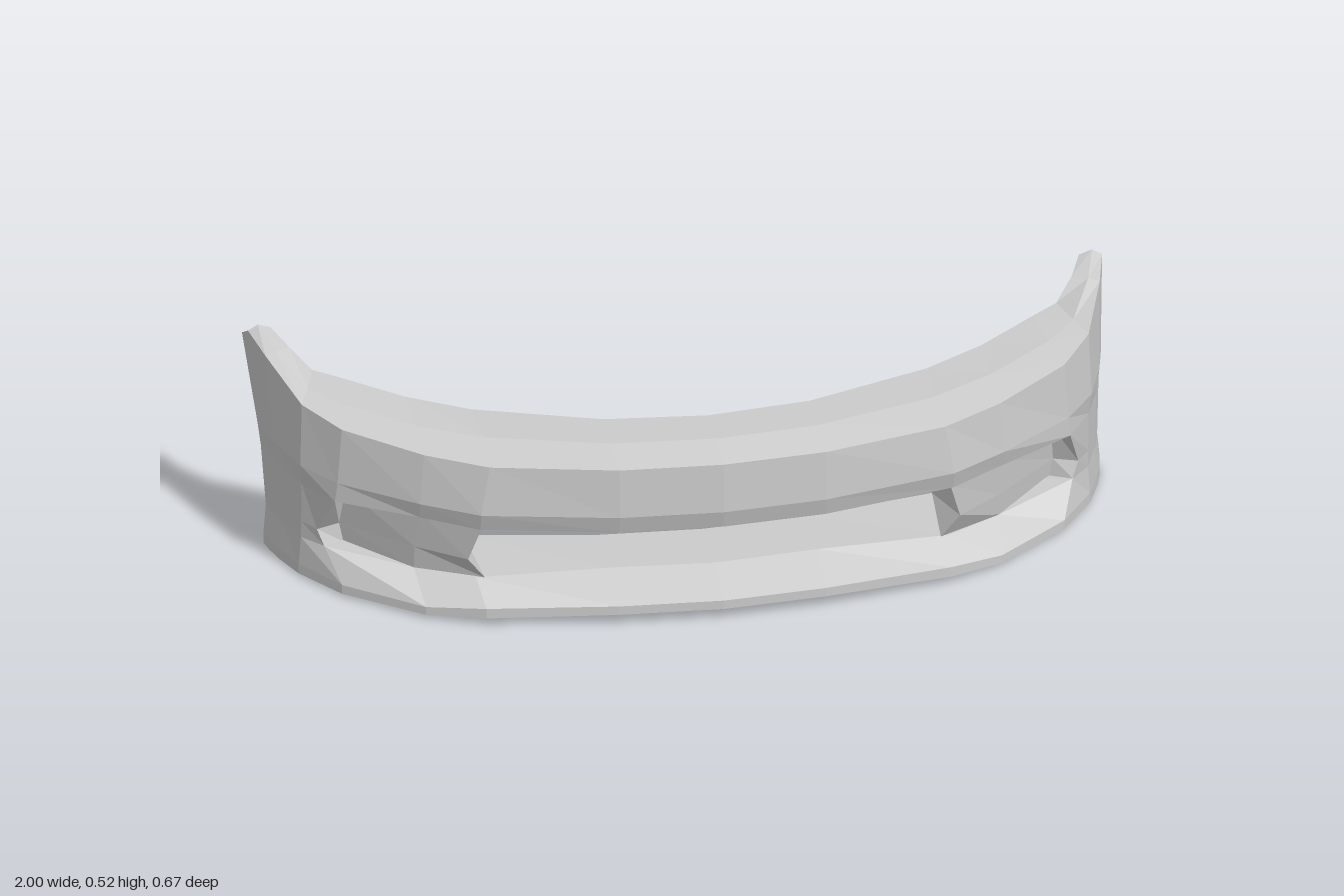
import * as THREE from 'three';

const material = new THREE.MeshStandardMaterial({ color: 0xcccccc, flatShading: true });

// Skins a list of equal cross-section loops running toward +x, with capped ends.
function loft(name, sections) {
  const pos = [];
  const tri = (a, b, c) => {
    const [A, B, C] = [a, b, c].map((p) => new THREE.Vector3(...p));
    if (B.clone().sub(A).cross(C.clone().sub(A)).length() > 1e-9) pos.push(...a, ...b, ...c);
  };
  const quad = (a, b, c, d) => { tri(a, b, c); tri(a, c, d); };
  const n = sections[0].length;
  for (let i = 0; i < sections.length - 1; i++) {
    for (let j = 0; j < n; j++) {
      const k = (j + 1) % n, s = sections[i], t = sections[i + 1];
      quad(s[j], s[k], t[k], t[j]);
    }
  }
  // caps join each front point with the back point opposite it
  const first = sections[0], last = sections[sections.length - 1];
  for (let j = 0; j < n / 2 - 1; j++) {
    const m = n - 1 - j;
    quad(last[j], last[j + 1], last[m - 1], last[m]);
    quad(first[j], first[m], first[m - 1], first[j + 1]);
  }
  const g = new THREE.BufferGeometry();
  g.setAttribute('position', new THREE.Float32BufferAttribute(pos, 3));
  g.computeVertexNormals();
  const mesh = new THREE.Mesh(g, material);
  mesh.name = name;
  return mesh;
}

const mirrored = (sections) => sections.map((s) => s.map(([x, y, z]) => [-x, y, z])).reverse();
const fullWidth = (half) => [...mirrored(half.slice(1)), ...half];
const across = (...rows) => rows[0].map((_, i) => rows.map((r) => r[i]));
const between = (a, b, t) => a.map((v, k) => v + (b[k] - v) * t);

// Lengthwise edges from the centre to the left end, as [x, y, z]
const ridge = [[0, .427, .24], [.24, .427, .22], [.52, .427, .14], [.67, .435, .07],
  [.82, .45, -.03], [.89, .46, -.1], [.945, .503, -.21], [.97, .525, -.3], [.972, .495, -.335]];
const rim = [[0, .407, .328], [.24, .407, .312], [.53, .407, .245], [.67, .415, .175],
  [.84, .435, .06], [.915, .453, -.04], [.97, .498, -.2], [.993, .513, -.297], [1, .488, -.335]];
const crease = [[0, .285, .333], [.24, .285, .317], [.55, .285, .25], [.68, .29, .18],
  [.85, .295, .06], [.92, .3, -.03], [.96, .3, -.15], [.974, .3, -.21], [.98, .298, -.245]];
const lip = [[0, .24, .32], [.24, .24, .304], [.55, .24, .235], [.68, .248, .165],
  [.855, .245, .055], [.915, .245, -.04], [.952, .245, -.14], [.967, .245, -.2], [.974, .245, -.237]];
const wallTop = [[0, .427, .13], [.24, .427, .105], [.53, .427, .005], [.67, .438, -.06],
  [.8, .455, -.14], [.865, .462, -.18], [.91, .5, -.23], [.94, .515, -.3], [.955, .49, -.335]];
const sill = [[0, .09, .22], [.24, .09, .2], [.55, .085, .18], [.68, .08, .1],
  [.87, .1, 0], [.915, .1, -.05], [.945, .1, -.13], [.96, .1, -.18], [.966, .1, -.217]];
const chinTop = [[0, .05, .328], [.24, .05, .312], [.54, .045, .26], [.67, .03, .2],
  [.84, .03, .065], [.92, .03, -.05], [.952, .03, -.13], [.966, .03, -.18], [.972, .03, -.213]];
const chinY = [.028, .028, .02, .01, .007, .005, .003, .002, 0];
const chinBottom = chinTop.map(([x, , z], i) => [x, chinY[i], z]);
// Inner wall plan, reused at several heights
const innerXZ = [[0, .06], [.24, .045], [.545, -.01], [.67, -.06], [.81, -.14],
  [.86, -.17], [.89, -.195], [.91, -.21], [.93, -.215]];
const inner = (y, endZ) => innerXZ.map(([x, z], i) => [x, y, i === 8 ? endZ : z]);
const innerHigh = inner(.29, -.243), innerLow = inner(.09, -.217);
const innerBottom = inner(0, -.213).map(([x, , z], i) => [x, i < 3 ? .018 : chinY[i], z]);
// Underside fold: dips behind the lip, then the soffit climbs to the inner wall
const under = [[0, .226, .23], [.24, .226, .21], [.545, .228, .15], [.67, .236, .13],
  [.82, .24, 0], ...lip.slice(5).map((p, i) => between(p, innerHigh[i + 5], .5))];

export function createModel() {
  const group = new THREE.Group();
  group.name = 'frontBumper';

  // Upper bar with its raised wing tips
  group.add(loft('upperBar', fullWidth(
    across(ridge, rim, crease, lip, under, innerHigh, wallTop, ridge))));

  // Lower bar with the projecting chin
  group.add(loft('lowerBar', fullWidth(
    across(sill, chinTop, chinBottom, innerBottom, innerLow, innerLow))));

  // Side: pillar, recessed lamp pocket, then the flush outer corner
  const front = [
    [[.545, .24, .228], [.572, .145, .2], [.53, .085, .185]],
    [[.67, .24, .13], [.68, .14, .11], [.68, .08, .1]],
    [[.82, .245, 0], [.83, .14, -.03], [.82, .09, -.03]],
    [lip[4], [.885, .14, -.01], sill[4]],
  ];
  for (let i = 5; i < lip.length; i++) {
    front.push([lip[i], between(lip[i], sill[i], .7), sill[i]]);
  }
  const back = [2, 3, 4, 4, 5, 6, 7, 8];
  const side = front.map((f, i) =>
    [...f, innerLow[back[i]], innerHigh[back[i]], innerHigh[back[i]]]);
  group.add(loft('leftSide', side), loft('rightSide', mirrored(side)));
  return group;
}
